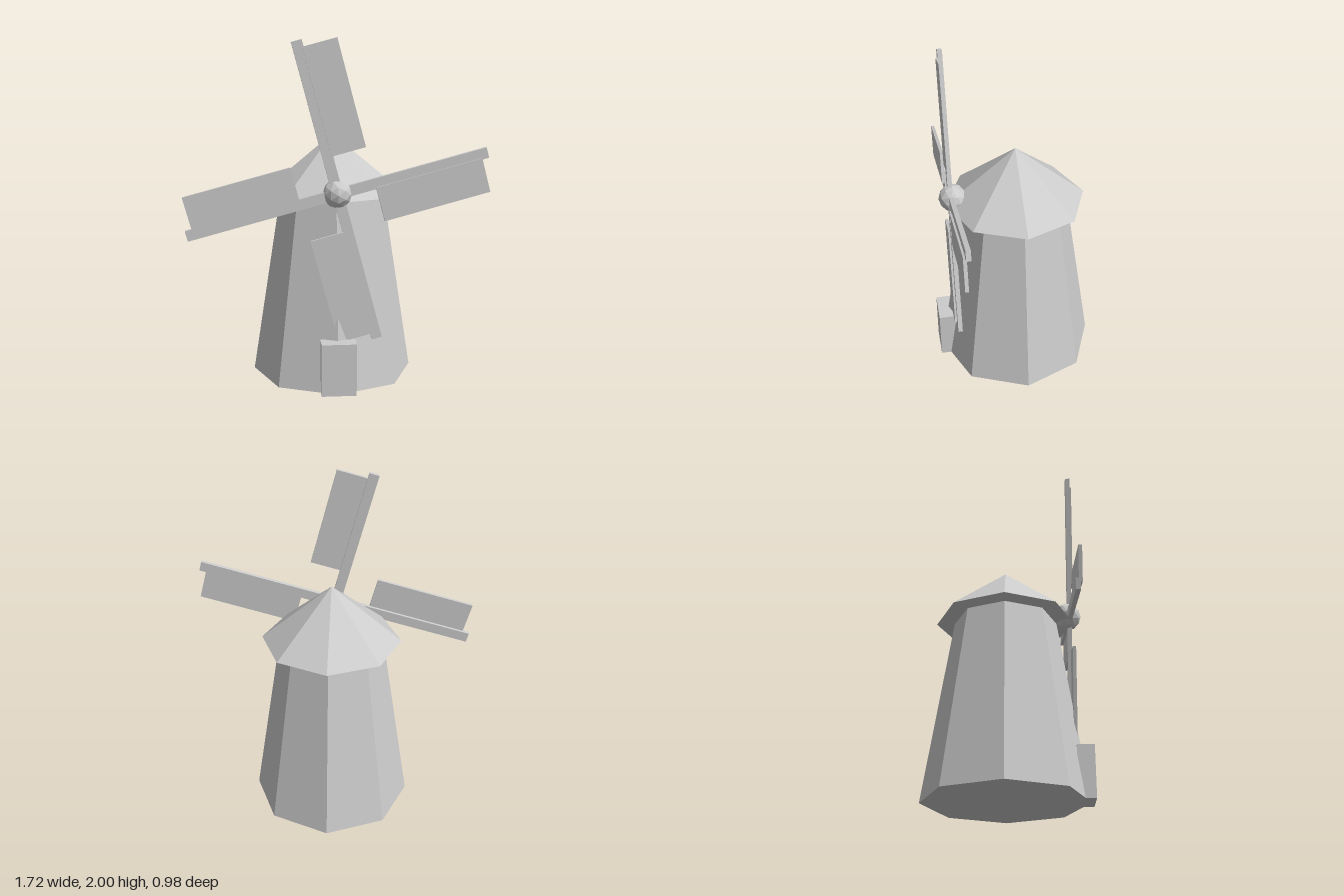
import * as THREE from 'three';

export function createModel() {
  const grey = new THREE.MeshStandardMaterial({ color: 0xcccccc, flatShading: true });
  grey.name = 'light grey';

  const model = new THREE.Group();
  model.name = 'windmill';

  const add = (parent, name, geometry, x, y, z) => {
    const mesh = new THREE.Mesh(geometry, grey);
    mesh.name = name;
    mesh.position.set(x, y, z);
    parent.add(mesh);
    return mesh;
  };

  // Eight-sided tapering tower and its overhanging roof
  add(model, 'tower', new THREE.CylinderGeometry(0.308, 0.48, 1.1, 8), 0, 0.55, -0.01);
  add(model, 'roof', new THREE.ConeGeometry(0.415, 0.345, 8), 0, 1.2725, -0.01);

  // Entrance block
  add(model, 'door', new THREE.BoxGeometry(0.2, 0.305, 0.1), 0, 0.1525, 0.44);

  // Rotor: hub and four arms, turned a little
  const rotor = new THREE.Group();
  rotor.name = 'rotor';
  rotor.position.set(0, 1.146, 0.363);
  model.add(rotor);
  add(rotor, 'hub', new THREE.IcosahedronGeometry(0.083, 1), 0, 0, 0);

  for (let i = 0; i < 4; i++) {
    const arm = new THREE.Group();
    arm.name = 'arm';
    arm.rotation.z = Math.PI / 12 + (i * Math.PI) / 2;
    rotor.add(arm);
    // Spar behind, sail panel in front and to one side
    add(arm, 'spar', new THREE.BoxGeometry(0.06, 0.87, 0.027), 0, 0.435, 0.0135);
    add(arm, 'sail', new THREE.BoxGeometry(0.197, 0.615, 0.02), 0.1185, 0.5225, 0.029);
  }
  return model;
}
